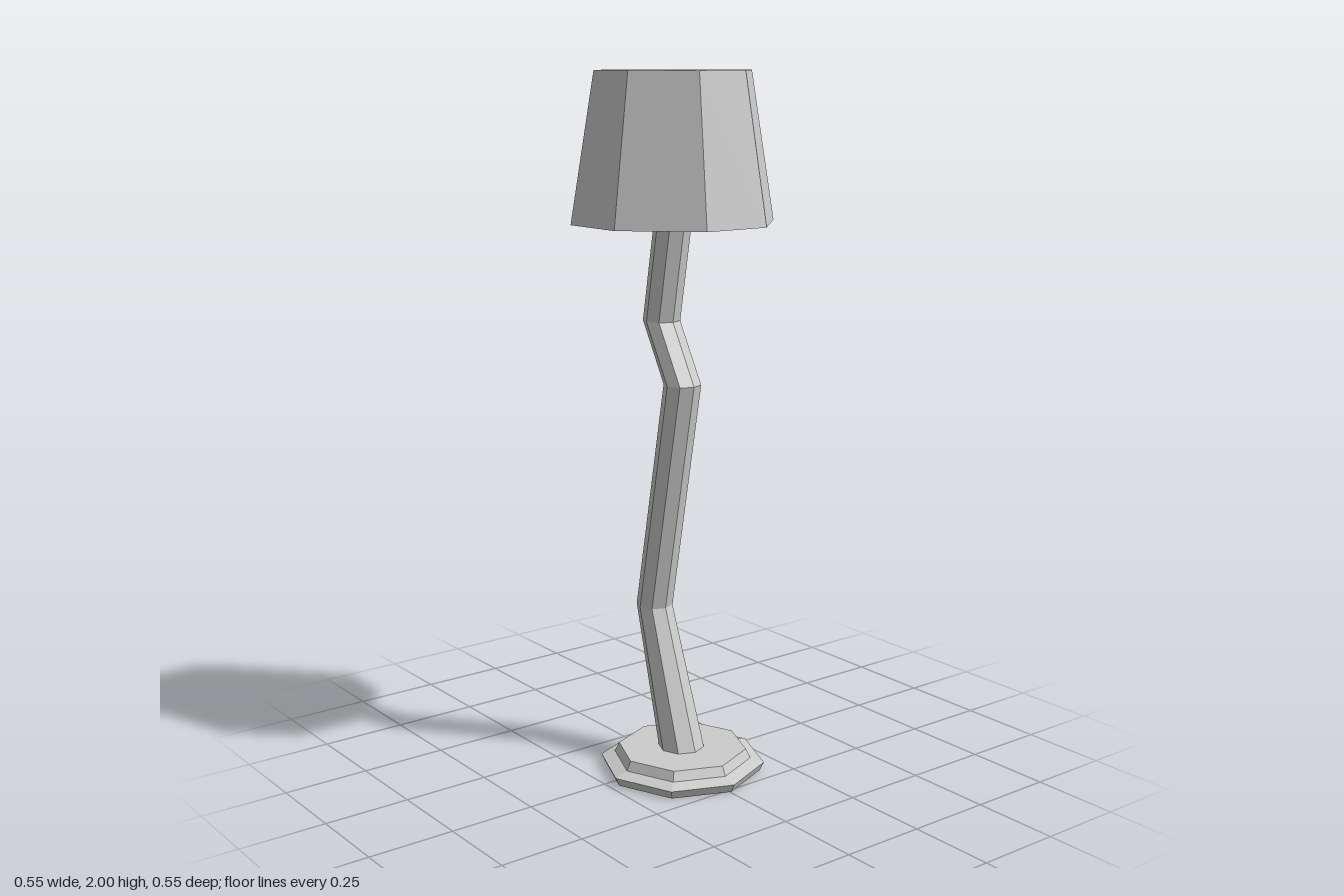
import * as THREE from 'three';

const material = new THREE.MeshStandardMaterial({ color: 0xcccccc, flatShading: true });

// Eight-sided turned solid, profile given as [radius, height] from bottom to top
function turned(name, profile, phiStart, moveVertex) {
  const points = profile.map(([r, y]) => new THREE.Vector2(r, y));
  const geometry = new THREE.LatheGeometry(points, 8, phiStart);
  const pos = geometry.attributes.position;
  const v = new THREE.Vector3();
  for (let i = 0; i < pos.count && moveVertex; i++) {
    moveVertex(v.fromBufferAttribute(pos, i));
    pos.setXYZ(i, v.x, v.y, v.z);
  }
  geometry.computeVertexNormals();
  const mesh = new THREE.Mesh(geometry, material);
  mesh.name = name;
  return mesh;
}

export function createModel() {
  const lamp = new THREE.Group();
  lamp.name = 'floorLamp';

  // Stepped foot
  const base = turned('base', [
    [0, 0], [0.228, 0], [0.24, 0.025], [0.2, 0.037], [0.187, 0.064], [0, 0.064],
  ], 0);
  base.position.set(0.005, 0, 0.034);
  lamp.add(base);

  // Crooked pole: level rings of [radius, height, z offset]
  const rings = [
    [0.067, 0.05, 0.035],
    [0.053, 0.465, -0.098],
    [0.053, 1.14, 0.034],
    [0.053, 1.31, -0.062],
    [0.053, 1.8, 0.029],
  ];
  const profile = [[0, 0.05], ...rings.map(([r, y]) => [r, y]), [0, 1.8]];
  const pole = turned('pole', profile, 0, (v) => {
    v.z += rings.find((ring) => Math.abs(ring[1] - v.y) < 0.01)[2];
  });
  pole.position.x = 0.004;
  lamp.add(pole);

  // Hollow shade with an inner lip; the diagonal sides are wider than the straight ones
  const shade = turned('shade', [
    [0, 1.96], [0.19, 1.96], [0.24, 1.63], [0.16, 1.63],
    [0.16, 1.59], [0.274, 1.59], [0.21, 2], [0, 2],
  ], Math.PI / 8, (v) => {
    const r = Math.hypot(v.x, v.z);
    const wideX = Math.abs(v.x) > Math.abs(v.z);
    v.x = Math.sign(v.x) * r * (wideX ? 1 : 0.37);
    v.z = Math.sign(v.z) * r * (wideX ? 0.37 : 1);
  });
  lamp.add(shade);

  return lamp;
}
